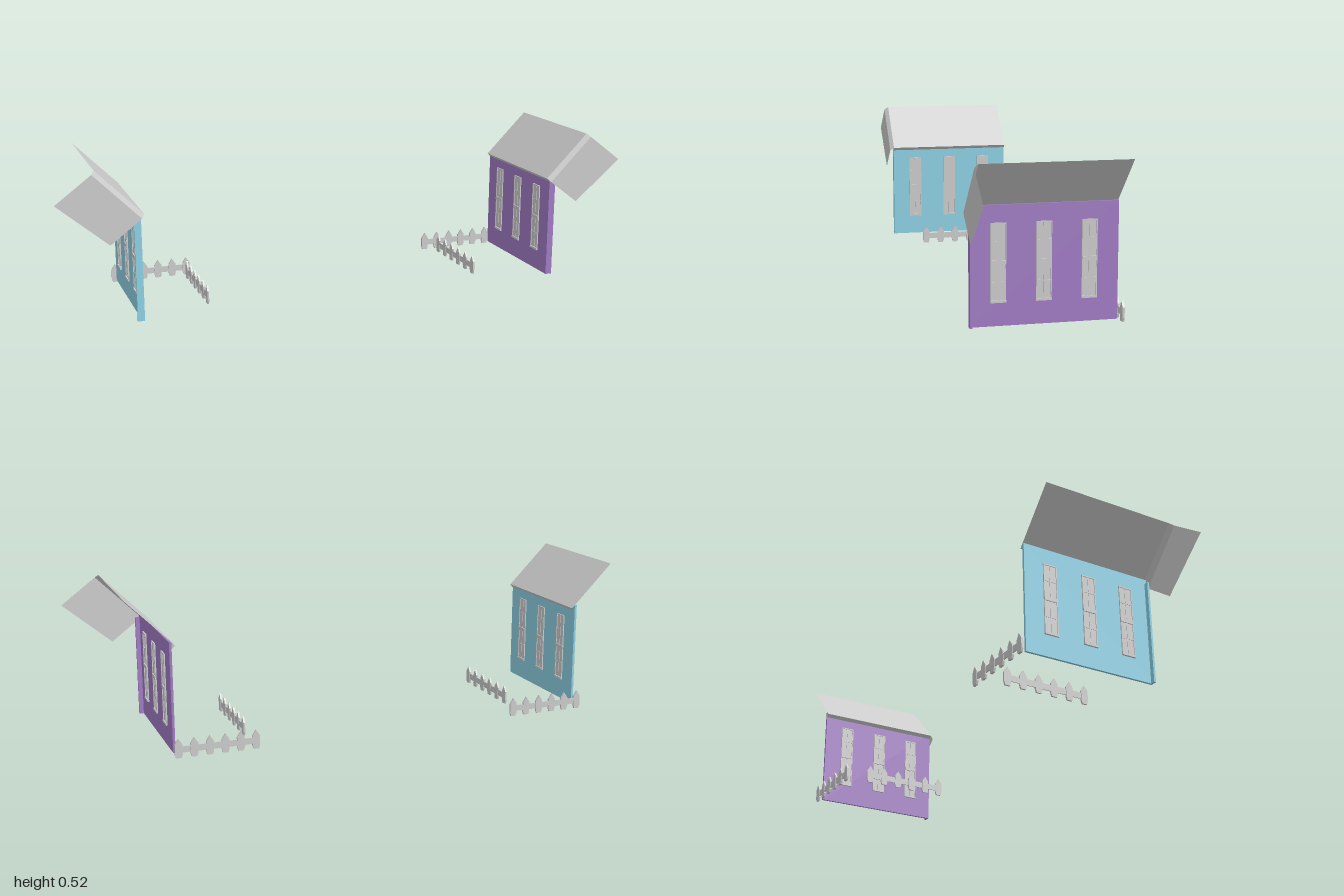
import * as THREE from 'three';

const material = (color) => new THREE.MeshStandardMaterial({ color, flatShading: true, side: THREE.DoubleSide });
const grey = material(0xcccccc);
const blue = material(0x8cd0e4);
const purple = material(0xa17cc4);

function add(parent, name, geometry, mat = grey) {
  const mesh = new THREE.Mesh(geometry, mat);
  mesh.name = name;
  parent.add(mesh);
  return mesh;
}

// Box given by its min and max corners
function box(parent, name, [x0, y0, z0], [x1, y1, z1], mat = grey) {
  const g = new THREE.BoxGeometry(x1 - x0, y1 - y0, z1 - z0);
  g.translate((x0 + x1) / 2, (y0 + y1) / 2, (z0 + z1) / 2);
  return add(parent, name, g, mat);
}

// Flat four-cornered sheet
function quad(parent, name, a, b, c, d) {
  const g = new THREE.BufferGeometry();
  g.setAttribute('position', new THREE.Float32BufferAttribute([...a, ...b, ...c, ...a, ...c, ...d], 3));
  g.computeVertexNormals();
  return add(parent, name, g);
}

// Two-sash window, centred on z, seen from both sides of the wall
function createWindow(z) {
  const group = new THREE.Group();
  group.name = 'window';
  const w = 0.0235, y0 = 0.084, y1 = 0.325;
  box(group, 'glass', [0.7295, y0, z - w], [0.7405, y1, z + w]);
  for (const side of [-1, 1]) {
    const zs = z + side * (w - 0.001);
    box(group, 'frameSide', [0.727, y0, zs - 0.0015], [0.743, y1, zs + 0.0015]);
  }
  box(group, 'sill', [0.725, y0, z - w - 0.001], [0.745, y0 + 0.007, z + w + 0.001]);
  box(group, 'frameTop', [0.727, y1 - 0.004, z - w], [0.743, y1, z + w]);
  box(group, 'middleRail', [0.726, 0.199, z - w], [0.744, 0.212, z + w]);
  box(group, 'verticalBar', [0.728, y0, z - 0.002], [0.742, y1, z + 0.002]);
  for (const y of [0.145, 0.268])
    box(group, 'crossBar', [0.728, y - 0.002, z - w], [0.742, y + 0.002, z + w]);
  return group;
}

// Picket fence running along x, centred, standing on y = 0
function createFence(length, depth) {
  const group = new THREE.Group();
  const count = 6, w = 0.0135, step = (length - 2 * w) / (count - 1);
  const shape = new THREE.Shape([
    [-0.009, 0], [0.009, 0], [0.0125, 0.012], [0.0125, 0.045], [0, 0.064], [-0.0125, 0.045], [-0.0125, 0.012],
  ].map(([x, y]) => new THREE.Vector2(x, y)));
  for (let i = 0; i < count; i++) {
    const g = new THREE.ExtrudeGeometry(shape, { depth, bevelEnabled: false });
    g.translate(-length / 2 + w + i * step, 0, -depth / 2);
    add(group, 'picket', g);
  }
  box(group, 'rail', [-length / 2 + w, 0.017, -depth / 4], [length / 2 - w, 0.038, depth / 4]);
  return group;
}

// Wall, windows and roof for the +x side
function createHouse(wallMaterial) {
  const house = new THREE.Group();
  box(house, 'sideWall', [0.731, 0.012, -0.225], [0.739, 0.378, 0.235], wallMaterial);
  box(house, 'frontCorner', [0.731, 0.012, 0.228], [0.754, 0.362, 0.235], wallMaterial);
  for (const z of [0.147, 0.007, -0.134]) house.add(createWindow(z));

  // Roof slope with a bevelled front edge and a gable panel below it
  const back = -0.225, front = 0.235, face = 0.249;
  const eave = [0.72, 0.367], ridge = [0.872, 0.519];
  const lowEave = [0.73, 0.356], lowRidge = [0.882, 0.509];
  quad(house, 'roofSlope', [...eave, back], [...eave, front], [...ridge, front], [...ridge, back]);
  quad(house, 'eaveEdge', [...eave, back], [...lowEave, back], [...lowEave, front], [...eave, front]);
  quad(house, 'roofFrontEdge', [...eave, front], [...lowEave, face], [...lowRidge, face], [...ridge, front]);
  quad(house, 'gablePanel', [...lowEave, face], [0.833, 0.278, face], [1, 0.42, face], [...lowRidge, face]);
  return house;
}

export function createModel() {
  const model = new THREE.Group();
  model.name = 'houseSidesWithFences';

  const rightHouse = createHouse(blue);
  rightHouse.name = 'rightHouse';
  rightHouse.scale.x = -1;
  const leftHouse = createHouse(purple);
  leftHouse.name = 'leftHouse';
  model.add(rightHouse, leftHouse);

  // Back fences meet the walls, side fences run front to back
  for (const [backX, sideX] of [[-0.611, -0.501], [0.597, 0.481]]) {
    const backFence = createFence(0.285, 0.007);
    backFence.name = 'backFence';
    backFence.position.set(backX, 0, -0.246);
    const sideFence = createFence(0.315, 0.006);
    sideFence.name = 'sideFence';
    sideFence.rotation.y = Math.PI / 2;
    sideFence.position.set(sideX, 0.016, 0);
    model.add(backFence, sideFence);
  }
  return model;
}
